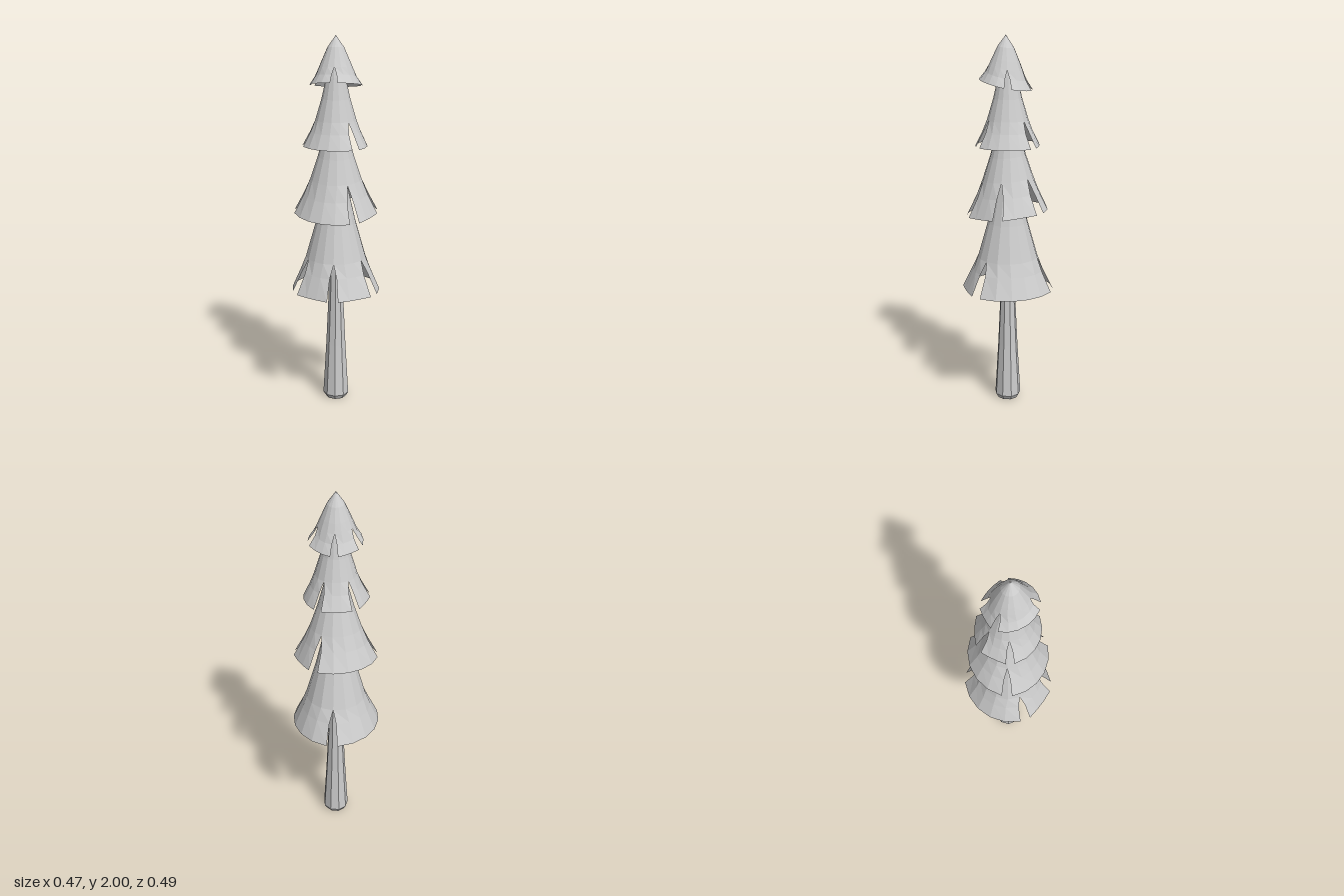
import * as THREE from 'three';

const leafMat = new THREE.MeshStandardMaterial({ color: 0xcccccc, flatShading: true, side: THREE.DoubleSide });
const barkMat = new THREE.MeshStandardMaterial({ color: 0xcccccc, flatShading: true });
const rad = THREE.MathUtils.degToRad;

// One bough: a curved sheet between two slits. Angles run from +x towards +z.
function boughGeometry(a0, a1, tier) {
  const { profile, slitRow, gap, tilt = 0, dz = 0 } = tier;
  const cols = Math.max(2, Math.round((a1 - a0) / rad(23)));
  const last = profile.length - 1;
  const pos = [], index = [];
  profile.forEach(([r, y], row) => {
    // the slit opens towards the hem, and the bough flares a little at its edges
    const open = Math.max(0, row - slitRow) / (last - slitRow);
    const half = gap * Math.pow(open, 0.6) / 2;
    for (let c = 0; c <= cols; c++) {
      const u = c / cols;
      const a = THREE.MathUtils.lerp(a0 + half / r, a1 - half / r, u);
      const rr = r * (1 + 0.06 * open * Math.pow(Math.abs(2 * u - 1), 2));
      const drop = tilt * Math.sin(a) * (row / last);
      pos.push(rr * Math.cos(a), y + drop, rr * Math.sin(a) + dz);
    }
  });
  for (let i = 0; i < last; i++) {
    for (let c = 0; c < cols; c++) {
      const p = i * (cols + 1) + c, q = p + cols + 1;
      index.push(p, p + 1, q, p + 1, q + 1, q);
    }
  }
  const g = new THREE.BufferGeometry();
  g.setAttribute('position', new THREE.Float32BufferAttribute(pos, 3));
  g.setIndex(index);
  g.computeVertexNormals();
  return g;
}

// A ring of boughs, one between each pair of neighbouring slits
function makeTier(tier) {
  const group = new THREE.Group();
  group.name = tier.name;
  tier.slits.forEach((s, i) => {
    const next = i + 1 < tier.slits.length ? tier.slits[i + 1] : tier.slits[0] + 360;
    const bough = new THREE.Mesh(boughGeometry(rad(s), rad(next), tier), leafMat);
    bough.name = 'bough';
    group.add(bough);
  });
  return group;
}

// Profiles run from the top to the hem as [radius, height]
const tiers = [
  {
    name: 'bottomTier', slits: [-90, 30, 90, 150], gap: 0.055, slitRow: 3,
    profile: [[0.04, 1.32], [0.075, 1.16], [0.108, 1.02], [0.162, 0.83], [0.187, 0.76], [0.232, 0.65]],
  },
  {
    name: 'lowerMiddleTier', slits: [-63, 0, 60, 175], gap: 0.05, slitRow: 3, tilt: -0.02,
    profile: [[0.035, 1.62], [0.065, 1.49], [0.095, 1.38], [0.135, 1.26], [0.165, 1.18], [0.21, 1.08]],
  },
  {
    name: 'upperMiddleTier', slits: [-130, -63, 50, 170], gap: 0.04, slitRow: 3,
    profile: [[0.025, 1.88], [0.05, 1.79], [0.075, 1.68], [0.108, 1.57], [0.13, 1.51], [0.165, 1.435]],
  },
  {
    name: 'topTier', slits: [-155, -91, -18, 90], gap: 0.036, slitRow: 3, tilt: 0.027, dz: 0.01,
    profile: [[0.001, 2.0], [0.043, 1.94], [0.072, 1.875], [0.089, 1.835], [0.105, 1.795], [0.132, 1.75]],
  },
];

export function createModel() {
  const tree = new THREE.Group();
  tree.name = 'tree';

  // Trunk with a bevelled foot, tapering up into the boughs
  const trunkProfile = [[0, 0], [0.056, 0], [0.071, 0.025], [0.069, 0.06], [0.054, 0.32],
    [0.042, 0.58], [0.036, 0.8], [0.028, 1.15], [0, 1.17]];
  const trunk = new THREE.Mesh(
    new THREE.LatheGeometry(trunkProfile.map(([x, y]) => new THREE.Vector2(x, y)), 9), barkMat);
  trunk.name = 'trunk';
  tree.add(trunk);

  tiers.forEach((t) => tree.add(makeTier(t)));
  return tree;
}
